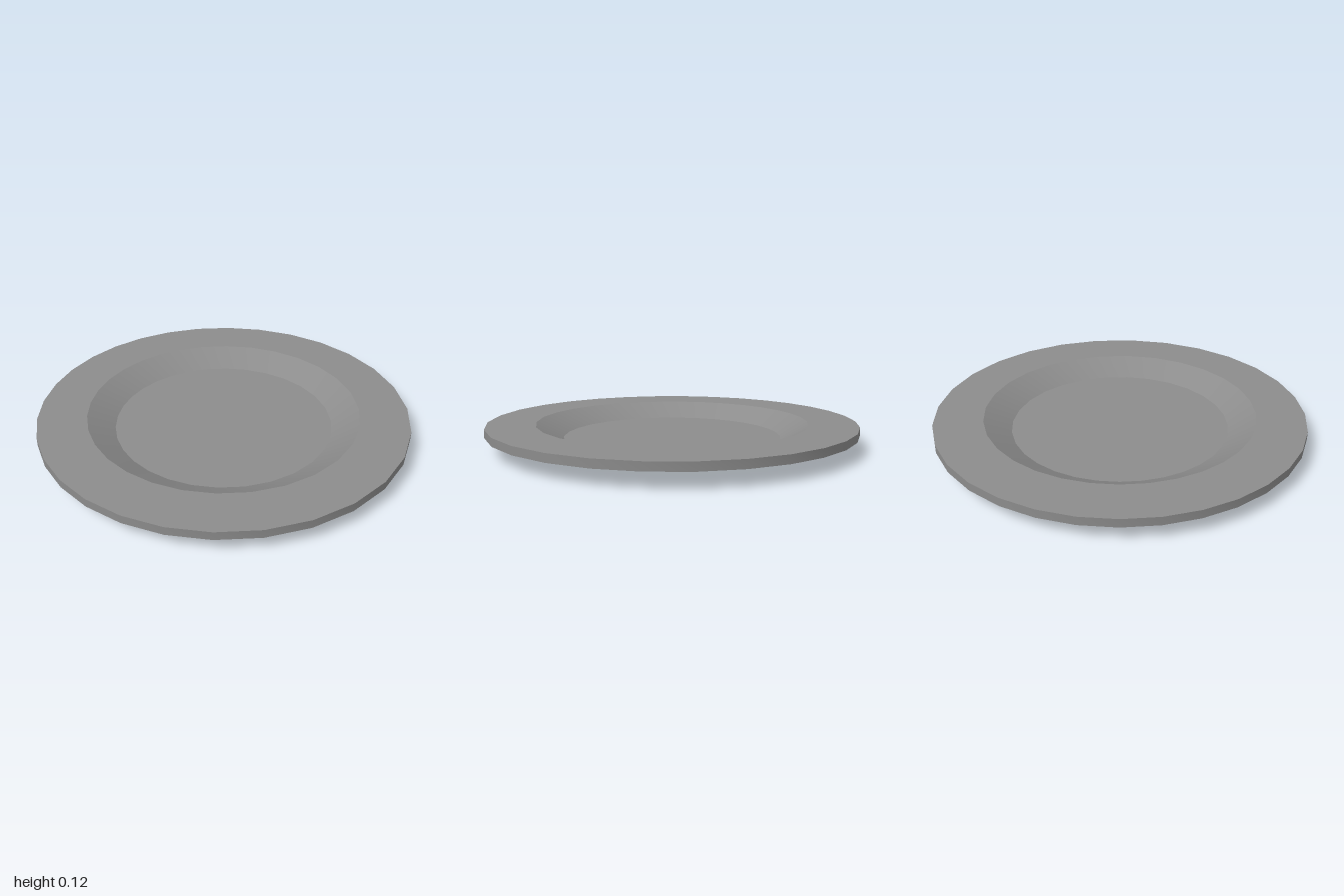
import * as THREE from 'three';
import { toCreasedNormals } from 'three/addons/utils/BufferGeometryUtils.js';

export function createModel() {
  const group = new THREE.Group();
  group.name = 'plate';

  // Closed section: foot, sloped underside, rim, sloped well, floor
  const profile = [
    [0, 0], [0.65, 0], [0.775, 0.081], [0.998, 0.081],
    [0.998, 0.125], [0.735, 0.125], [0.59, 0.044], [0, 0.044],
  ].map(([r, y]) => new THREE.Vector2(r, y));
  const geometry = new THREE.LatheGeometry(profile, 30);

  // Uneven facets: wider towards +x, narrower towards -x
  const pos = geometry.attributes.position;
  for (let i = 0; i < pos.count; i++) {
    const x = pos.getX(i), z = pos.getZ(i);
    const r = Math.hypot(x, z);
    const t = Math.atan2(x, -z);
    const a = t + 0.12 * (1 - Math.cos(t));
    pos.setXYZ(i, r * Math.sin(a), pos.getY(i), -r * Math.cos(a));
  }

  const dish = new THREE.Mesh(
    toCreasedNormals(geometry, 0.35),
    new THREE.MeshStandardMaterial({ color: 0x8c8c8c }),
  );
  dish.name = 'dish';
  group.add(dish);
  return group;
}
